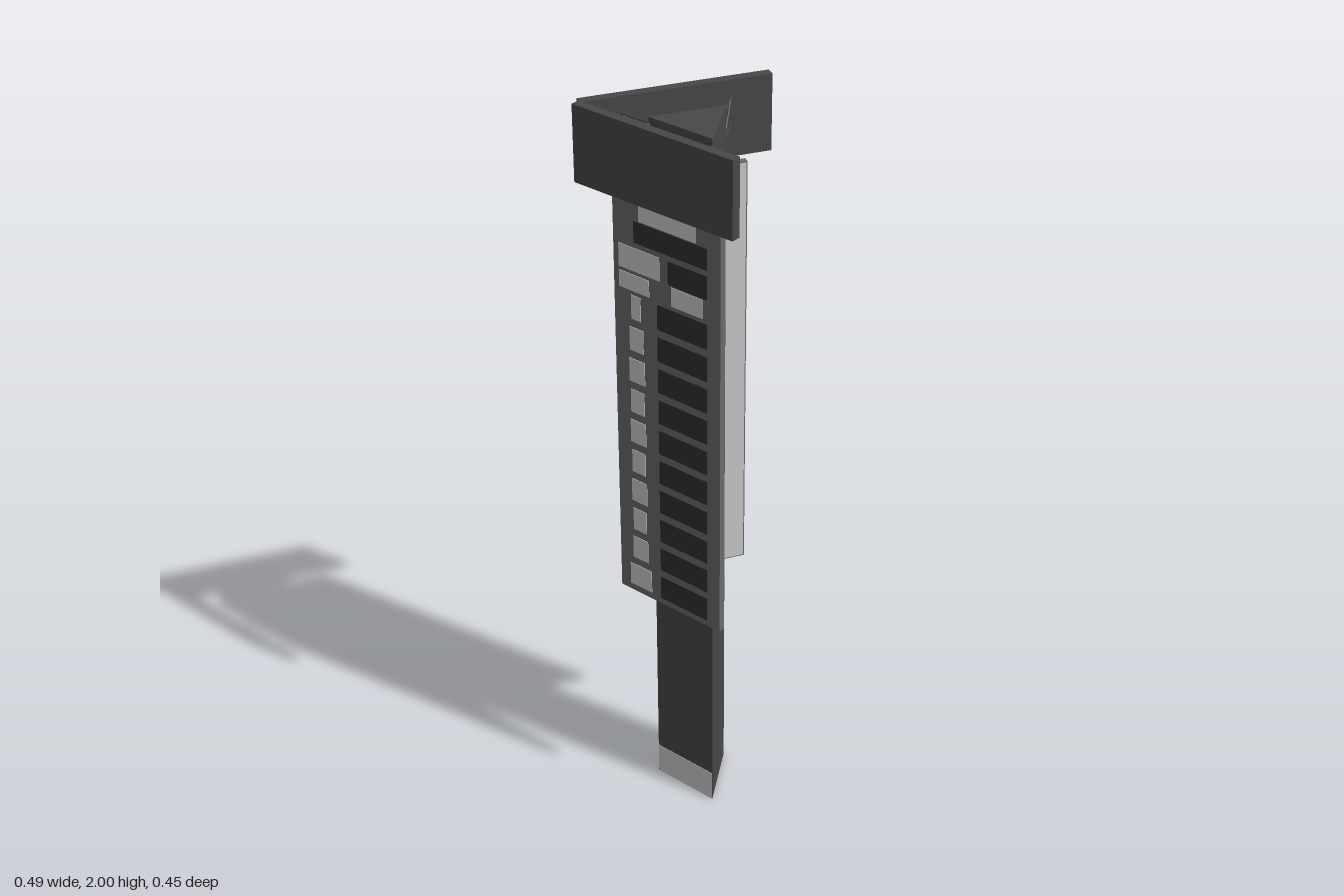
import * as THREE from 'three';

const mat = (color) => new THREE.MeshStandardMaterial({ color });
const DARK = mat(0x484848), BOARD = mat(0x6a6a6a), PLATE = mat(0x303030), LIGHT = mat(0xcccccc);

function box(parent, name, material, w, h, d, x, y, z) {
  const mesh = new THREE.Mesh(new THREE.BoxGeometry(w, h, d), material);
  mesh.name = name;
  mesh.position.set(x, y, z);
  parent.add(mesh);
  return mesh;
}

// box given by its left, right, bottom and top edges on the board face
function plate(parent, name, material, x0, x1, y0, y1) {
  box(parent, name, material, x1 - x0, y1 - y0, 0.002, (x0 + x1) / 2, (y0 + y1) / 2, 0.0095);
}

// one sign board; local +z is its outer face
function signBoard(name) {
  const g = new THREE.Group();
  g.name = name;
  box(g, 'boardPanel', BOARD, 0.332, 1.16, 0.018, 0, 1.22, 0);
  box(g, 'backSheet', LIGHT, 0.326, 1.154, 0.001, 0, 1.22, -0.0093);
  plate(g, 'titlePlate', LIGHT, -0.084, 0.091, 1.73, 1.795);
  plate(g, 'titleStrip', PLATE, -0.1, 0.126, 1.67, 1.727);
  plate(g, 'upperLeftPlate', LIGHT, -0.149, -0.021, 1.592, 1.655);
  plate(g, 'upperRightPlate', PLATE, 0.006, 0.126, 1.592, 1.655);
  plate(g, 'lowerLeftPlate', LIGHT, -0.149, -0.054, 1.537, 1.582);
  plate(g, 'lowerRightPlate', LIGHT, 0.016, 0.111, 1.537, 1.588);
  // ten directory rows: a small light tile and a dark name plate
  for (let i = 0; i < 10; i++) {
    const y = 1.492 - i * 0.0889;
    const half = i === 0 ? 0.015 : i === 9 ? 0.036 : 0.022 + 0.006 * (i % 2 ? 0 : 0.5);
    plate(g, 'rowTile', LIGHT, -0.097 - half, -0.097 + half, y - 0.033, y + 0.033);
    plate(g, 'rowPlate', PLATE, -0.029, 0.126, y - 0.034, y + 0.034);
  }
  return g;
}

// thin rod between two points
function rod(parent, a, b) {
  const dir = b.clone().sub(a);
  const mesh = new THREE.Mesh(new THREE.CylinderGeometry(0.0025, 0.0025, dir.length(), 8), DARK);
  mesh.name = 'bracketRod';
  mesh.position.copy(a).add(b).multiplyScalar(0.5);
  mesh.quaternion.setFromUnitVectors(new THREE.Vector3(0, 1, 0), dir.normalize());
  parent.add(mesh);
}

export function createModel() {
  const model = new THREE.Group();
  model.name = 'signPylon';

  // triangular pillar
  const corners = [[-0.087, 0.122], [0.105, 0.122], [0.009, -0.045]];
  const shape = new THREE.Shape(corners.map(([x, z]) => new THREE.Vector2(x, -z)));
  const geo = new THREE.ExtrudeGeometry(shape, { depth: 1.975, bevelEnabled: false });
  geo.rotateX(-Math.PI / 2);
  const pillar = new THREE.Mesh(geo, DARK);
  pillar.name = 'pillar';
  model.add(pillar);

  // two identical faces: front, and the one turned to the right rear
  const turn = -Math.PI * 2 / 3;
  const sides = [
    { label: 'front', angle: 0, board: [0.009, 0.169], header: [0.005, 0.21], base: [0.009, 0.122] },
    { label: 'side', angle: turn, board: [-0.082, 0.011], header: [-0.117, -0.011], base: [-0.039, 0.0385] },
  ];
  for (const { label, angle, board, header, base } of sides) {
    const sign = signBoard(label + 'SignBoard');
    sign.position.set(board[0], 0, board[1]);
    sign.rotation.y = angle;
    model.add(sign);

    box(model, label + 'Header', DARK, 0.482, 0.2, 0.025, header[0], 1.9, header[1]).rotation.y = angle;
    box(model, label + 'BasePlate', LIGHT, 0.19, 0.09, 0.002, base[0], 0.045, base[1]).rotation.y = angle;
  }

  // brackets holding the headers: two level rods and a diagonal each
  const brackets = [
    [-0.084, 0.118, -0.127, 0.2],
    [0.101, 0.118, 0.145, 0.2],
    [-0.082, 0.115, -0.178, 0.115],
    [0.007, -0.04, -0.038, -0.121],
  ];
  for (const [x0, z0, x1, z1] of brackets) {
    const g = new THREE.Group();
    g.name = 'headerBracket';
    const inner = (y) => new THREE.Vector3(x0, y, z0);
    const outer = (y) => new THREE.Vector3(x1, y, z1);
    rod(g, inner(1.957), outer(1.957));
    rod(g, inner(1.885), outer(1.885));
    rod(g, inner(1.885), outer(1.957));
    model.add(g);
  }
  return model;
}
